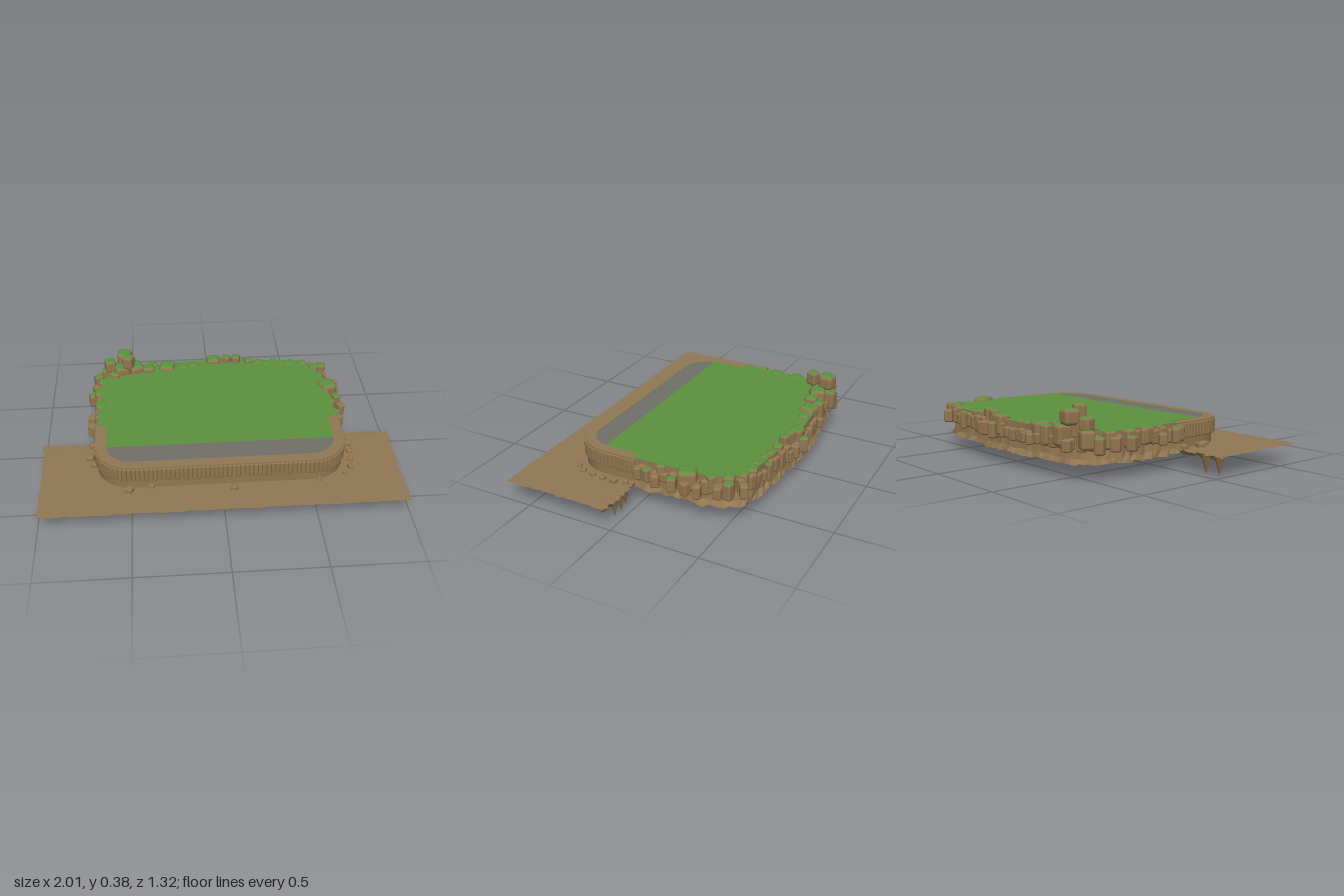
import * as THREE from 'three';
import { RoundedBoxGeometry } from 'three/addons/geometries/RoundedBoxGeometry.js';

const mat = (name, color) => new THREE.MeshStandardMaterial({ name, color, side: THREE.DoubleSide });

export function createModel() {
  const group = new THREE.Group();
  const soil = mat('soil brown', 0x8f7855);
  const stone = mat('stone brown', 0x927650);
  const grass = mat('grass green', 0x5c913e);
  const gravel = mat('gravel grey', 0x706e69);

  let seed = 7;
  const rnd = (a = 0, b = 1) => {
    seed = (seed * 16807) % 2147483647;
    return a + (b - a) * seed / 2147483647;
  };
  const add = (name, geometry, material, parent = group) => {
    const mesh = new THREE.Mesh(geometry, material);
    mesh.name = name;
    parent.add(mesh);
    return mesh;
  };
  const subgroup = (name) => {
    const g = new THREE.Group();
    g.name = name;
    group.add(g);
    return g;
  };

  // Flat sheet from [x, z] points at height y
  const sheet = (pts, y) => {
    const shape = new THREE.Shape(pts.map(([x, z]) => new THREE.Vector2(x, -z)));
    return new THREE.ShapeGeometry(shape).rotateX(-Math.PI / 2).translate(0, y, 0);
  };
  // Open surface joining rows of [x, y, z] points
  const loft = (rows, faceted = false) => {
    const n = rows[0].length, index = [];
    for (let r = 0; r < rows.length - 1; r++)
      for (let i = 0; i < n - 1; i++) {
        const a = r * n + i, b = a + n;
        index.push(a, b, a + 1, b, b + 1, a + 1);
      }
    let g = new THREE.BufferGeometry();
    g.setAttribute('position', new THREE.Float32BufferAttribute(rows.flat(2), 3));
    g.setIndex(index);
    if (faceted) g = g.toNonIndexed();
    g.computeVertexNormals();
    return g;
  };

  // U-shaped front outline, from the right end round the front to the left end
  const front = (off, n, z0 = 0.04) => {
    const r = 0.2 + off, p = new THREE.Path();
    p.moveTo(-0.49 - r, z0);
    p.lineTo(-0.49 - r, 0.24);
    p.absarc(-0.49, 0.24, r, Math.PI, Math.PI / 2, true);
    p.absarc(0.49, 0.24, r, Math.PI / 2, 0, true);
    p.lineTo(0.49 + r, z0);
    return p.getSpacedPoints(n).map((v) => [v.x, v.y]);
  };
  // Curved back outline, from the left end round the back to the right end
  const half = [[0.685, 0.05], [0.675, -0.2], [0.66, -0.4], [0.58, -0.53], [0.35, -0.575]];
  const backKnots = [...half, [0, -0.6], ...half.map(([x, z]) => [-x, z]).reverse()];
  const backCurve = new THREE.CatmullRomCurve3(backKnots.map(([x, z]) => new THREE.Vector3(x, 0, z)));
  const back = (n) => backCurve.getSpacedPoints(n).map((v) => [v.x, v.z]);

  // Forecourt with ragged edges and a notch for the terrace
  const edge = [];
  const ragged = (x0, z0, x1, z1, n) => {
    for (let i = 0; i < n; i++) {
      const t = i / n, j = i ? rnd(-0.006, 0.006) : 0;
      edge.push([x0 + (x1 - x0) * t + (x0 === x1 ? j : 0), z0 + (z1 - z0) * t + (z0 === z1 ? j : 0)]);
    }
  };
  ragged(-0.994, 0.04, -0.994, 0.645, 20);
  ragged(-0.994, 0.645, 0.994, 0.645, 60);
  ragged(0.994, 0.645, 0.994, 0.04, 20);
  ragged(0.994, 0.04, 0.7, 0.04, 12);
  add('forecourt', sheet([...edge, ...front(-0.005, 80).reverse()], 0.105), soil);

  // Broken rear lip of the forecourt, with hanging spikes
  const lip = subgroup('forecourtLip');
  for (const s of [-1, 1]) {
    const top = [], mid = [], low = [];
    for (let i = 0; i <= 20; i++) {
      const x = s * (0.69 + 0.31 * i / 20);
      top.push([x, 0.106, 0.06]);
      mid.push([x, rnd(0.098, 0.11), rnd(0.025, 0.04)]);
      low.push([x, rnd(0.076, 0.09), rnd(0.04, 0.055)]);
    }
    add('lip', loft([top, mid, low], true), stone, lip);
  }
  for (const [x, len] of [[-0.98, 0.09], [-0.89, 0.1], [0.78, 0.08], [0.82, 0.1], [0.88, 0.1]]) {
    const spike = new THREE.ConeGeometry(0.03, len, 5).rotateX(Math.PI).scale(1, 1, 0.7);
    add('spike', spike.toNonIndexed(), stone, lip).position.set(x, 0.1 - len / 2, 0.046);
  }

  // Front retaining wall: recessed base, blocks and cap
  const base = front(-0.012, 120);
  add('frontWall', loft([
    base.map(([x, z]) => [x, 0.237, z]),
    base.map(([x, z]) => [x, rnd(0.076, 0.088), z]),
  ]), stone);
  const blocks = subgroup('wallBlocks');
  const blockShape = new RoundedBoxGeometry(0.0235, 0.08, 0.03, 2, 0.006);
  const line = front(-0.008, 84);
  for (let i = 0; i < 84; i++) {
    const [[ax, az], [bx, bz]] = [line[i], line[i + 1]];
    const b = add('block', blockShape, stone, blocks);
    b.position.set((ax + bx) / 2, 0.196, (az + bz) / 2);
    b.rotation.y = -Math.atan2(bz - az, bx - ax);
  }
  const outer = front(0, 80), inner = front(-0.06, 80);
  add('wallCap', sheet([...outer, ...inner.slice().reverse()], 0.243), soil);
  add('wallCapEdge', loft([
    outer.map(([x, z]) => [x, 0.243, z]),
    outer.map(([x, z]) => [x, 0.232, z]),
  ]), stone);

  // Inside of the front wall: grassy lining with stone teeth
  const lining = front(-0.03, 60);
  add('wallLining', loft([
    lining.map(([x, z]) => [x, 0.238, z]),
    lining.map(([x, z]) => [x, 0.11, z]),
  ]), grass);
  const teethFoot = front(-0.04, 60);
  add('liningTeeth', loft([
    teethFoot.map(([x, z], i) => [x, i % 2 ? rnd(0.2, 0.235) : rnd(0.11, 0.14), z]),
    teethFoot.map(([x, z]) => [x, 0.085, z]),
  ], true), stone);

  // Terrace surface
  add('gravelStrip', sheet(front(-0.06, 60, 0.239), 0.241), gravel);
  add('lawn', sheet([...back(60), [-0.635, 0.05], [-0.635, 0.25], [0.635, 0.25], [0.635, 0.05]], 0.246), grass);

  // Flared cliff behind
  const rim = back(90);
  const cliffRow = (y, out, jy, jo) => rim.map(([x, z]) => {
    const k = 1 + (out + rnd(-jo, jo)) / 0.63;
    return [x * k, y + rnd(-jy, jy), z * k];
  });
  add('cliff', loft([
    cliffRow(0.244, 0, 0, 0), cliffRow(0.17, 0, 0.005, 0.003),
    cliffRow(0.11, 0.008, 0.006, 0.006), cliffRow(0.082, 0.022, 0.006, 0.01),
  ], true), stone);

  // Rounded rocks; mossy ones have a green top face
  const rocks = subgroup('rocks');
  const mossy = [stone, stone, grass, stone, stone, stone];
  const rock = (name, x, z, size, bottom, top, material, turn = rnd(-0.5, 0.5)) => {
    const w = size * rnd(0.9, 1.1), d = size * rnd(0.85, 1.1), h = top - bottom;
    const g = new RoundedBoxGeometry(w, h, d, 2, Math.min(w, h, d) * 0.26);
    const m = add(name, g, material, rocks);
    m.position.set(x, (top + bottom) / 2, z);
    m.rotation.y = turn;
  };
  // [x, z, size, top]
  const sideRocks = [
    [-0.67, 0.045, 0.08, 0.23], [-0.67, -0.17, 0.07, 0.25], [-0.67, -0.3, 0.075, 0.25], [-0.72, -0.31, 0.05, 0.22],
    [-0.66, -0.41, 0.06, 0.25], [-0.695, -0.5, 0.05, 0.23], [0.635, -0.48, 0.06, 0.26], [0.685, -0.5, 0.05, 0.25],
    [0.685, -0.27, 0.1, 0.267], [0.73, -0.2, 0.05, 0.22], [0.67, -0.11, 0.06, 0.25], [0.7, -0.04, 0.05, 0.22],
    [0.66, -0.39, 0.05, 0.25], [-0.67, -0.08, 0.045, 0.245],
  ];
  const backRocks = [
    [-0.36, -0.57, 0.06, 0.26], [-0.27, -0.545, 0.1, 0.268], [-0.175, -0.55, 0.06, 0.255], [-0.1, -0.555, 0.05, 0.255],
    [0.02, -0.59, 0.075, 0.272], [0.03, -0.635, 0.05, 0.23], [0.1, -0.58, 0.05, 0.284], [0.16, -0.575, 0.05, 0.288],
    [0.235, -0.57, 0.05, 0.265], [0.3, -0.56, 0.045, 0.254], [0.35, -0.545, 0.045, 0.252], [0.4, -0.59, 0.035, 0.24],
    [0.43, -0.535, 0.045, 0.252], [0.49, -0.54, 0.065, 0.252], [0.57, -0.53, 0.05, 0.255],
  ];
  for (const [x, z, s, t] of [...sideRocks, ...backRocks]) rock('mossyRock', x, z, s, t > 0.24 ? 0.155 : 0.14, t, mossy);
  const bareRocks = [
    [-0.555, -0.595, 0.045], [-0.7, -0.4, 0.05], [-0.72, -0.1, 0.045], [-0.715, 0, 0.045], [-0.27, -0.615, 0.04],
    [-0.2, -0.6, 0.04], [-0.12, -0.61, 0.045], [0.12, -0.625, 0.045], [0.18, -0.62, 0.035], [0.62, -0.555, 0.05],
    [0.69, -0.445, 0.05], [0.735, -0.35, 0.05], [0.735, -0.28, 0.045], [0.74, -0.11, 0.045], [0.71, 0.01, 0.045],
  ];
  for (const [x, z, s] of bareRocks) rock('bareRock', x, z, s, 0.145, rnd(0.205, 0.225), stone);

  // Row of rocks set into the cliff below the lawn
  const row = back(40);
  for (let i = 1; i < 40; i++) rock('cliffRock', row[i][0], row[i][1], 0.048, rnd(0.14, 0.155), rnd(0.205, 0.24), stone,
    -Math.atan2(row[i + 1][1] - row[i - 1][1], row[i + 1][0] - row[i - 1][0]));

  // Stacked rocks at the back right corner: [x, z, size, bottom, top]
  for (const [x, z, s, b, t] of [
    [-0.63, -0.53, 0.085, 0.16, 0.262], [-0.62, -0.52, 0.07, 0.25, 0.325], [-0.55, -0.5, 0.1, 0.2, 0.3],
    [-0.465, -0.52, 0.085, 0.2, 0.29], [-0.53, -0.555, 0.09, 0.275, 0.36], [-0.505, -0.475, 0.065, 0.295, 0.377],
    [-0.385, -0.515, 0.075, 0.2, 0.275], [-0.59, -0.47, 0.06, 0.2, 0.268], [-0.5, -0.58, 0.08, 0.17, 0.28],
  ]) rock('stackedRock', x, z, s, b, t, mossy);

  // Loose stones on the forecourt
  for (const [x, z, s] of [
    [0.06, 0.48, 0.035], [-0.51, 0.46, 0.042], [-0.39, 0.435, 0.03], [0.53, 0.44, 0.025], [0.74, 0.14, 0.04],
    [0.74, 0.21, 0.03], [0.73, 0.28, 0.03], [0.72, 0.345, 0.03], [0.68, 0.395, 0.025], [-0.73, 0.17, 0.042],
    [-0.705, 0.23, 0.035], [-0.72, 0.06, 0.04], [0.72, 0.08, 0.035],
  ]) rock('looseStone', x, z, s, 0.095, 0.1 + s * 0.75, stone);

  return group;
}
